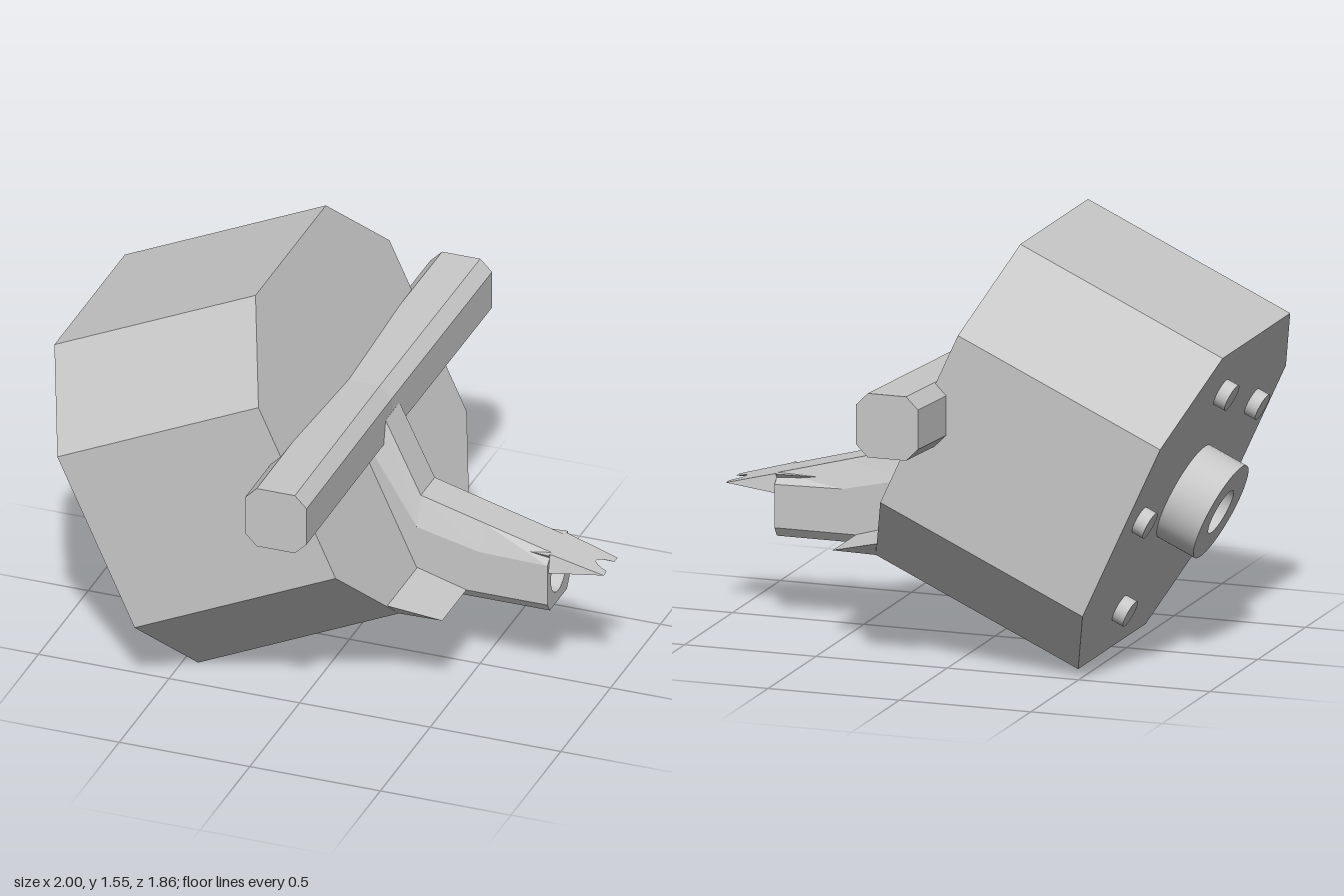
import * as THREE from 'three';
import { ConvexGeometry } from 'three/addons/geometries/ConvexGeometry.js';

const grey = new THREE.MeshStandardMaterial({ color: 0xc8c8c8, side: THREE.DoubleSide });

function add(parent, name, geometry, x = 0, y = 0, z = 0) {
  const mesh = new THREE.Mesh(geometry, grey);
  mesh.name = name;
  mesh.position.set(x, y, z);
  parent.add(mesh);
  return mesh;
}

// Flat-shaded geometry from a list of triangles' corner points
function facets(points) {
  const g = new THREE.BufferGeometry();
  g.setAttribute('position', new THREE.Float32BufferAttribute(points.flat(), 3));
  g.computeVertexNormals();
  return g;
}

// Skin between cross-sections; rings run counter-clockwise seen from the far end
function loft(rings, capEnd = true) {
  const tris = [];
  const n = rings[0].length;
  for (let i = 0; i < rings.length - 1; i++) {
    for (let j = 0; j < n; j++) {
      const k = (j + 1) % n;
      const [a, b, c, d] = [rings[i][j], rings[i][k], rings[i + 1][k], rings[i + 1][j]];
      tris.push(a, b, c, a, c, d);
    }
  }
  const last = rings[rings.length - 1];
  for (let j = 1; j < n - 1; j++) {
    tris.push(rings[0][0], rings[0][j + 1], rings[0][j]);
    if (capEnd) tris.push(last[0], last[j], last[j + 1]);
  }
  return facets(tris);
}

const polygon = (pts) => new THREE.Shape(pts.map(([x, y]) => new THREE.Vector2(x, y)));

// Octagon with half-width h and cut corners, counter-clockwise
const octagon = (h, f) => [[h, -f], [h, f], [f, h], [-f, h], [-h, f], [-h, -f], [-f, -h], [f, -h]];

// Cylinder lying along x
const rod = (r, length, open = false) =>
  new THREE.CylinderGeometry(r, r, length, 40, 1, open).rotateZ(Math.PI / 2);

export function createModel() {
  const model = new THREE.Group();

  // Tilted octagonal drum; local x is its axis, origin at the back face
  const drum = new THREE.Group();
  drum.name = 'drum';
  drum.position.set(-0.72, 0.6, 0);
  drum.rotation.z = 0.432;
  model.add(drum);
  const depth = 0.848;
  add(drum, 'drumBody', new THREE.ExtrudeGeometry(polygon(octagon(0.657, 0.353)),
    { depth, bevelEnabled: false }).rotateY(Math.PI / 2));

  // Hollow hub on the back
  const hub = 0.154;
  add(drum, 'hubOuter', rod(0.19, hub, true), -hub / 2);
  add(drum, 'hubBore', rod(0.088, hub, true), -hub / 2);
  add(drum, 'hubRim', new THREE.RingGeometry(0.088, 0.19, 40).rotateY(-Math.PI / 2), -hub);

  // Five studs around the hub
  for (let i = 0; i < 5; i++) {
    const a = (35 + 72 * i) * Math.PI / 180;
    add(drum, 'stud', rod(0.052, 0.055), -0.0175, 0.478 * Math.sin(a), 0.478 * Math.cos(a));
  }

  // Wedge lip under the front of the drum
  const lip = [];
  for (const s of [-1, 1]) {
    lip.push(new THREE.Vector3(0.302, 0.415, 0.412 * s), new THREE.Vector3(0.325, 0.358, 0.353 * s),
      new THREE.Vector3(0.49, 0.361, 0.353 * s));
  }
  add(model, 'lip', new ConvexGeometry(lip));

  // Crossbar, slightly bent at the middle
  const bar = [[-0.93, 0.073, 0.988], [0, 0.045, 0.95], [0.93, 0.073, 0.988]].map(([z, cx, cy]) =>
    octagon(0.118, 0.073).map(([x, y]) => [cx + x, cy + y, z]));
  add(model, 'crossbar', loft(bar));

  // Neck and spout: top, shoulder, lower side and bottom corners of each section
  const halfWidths = [0.07, 0.11, 0.11, 0.085];
  const sections = [
    [[0.165, 0.97], [0.1, 0.9], [0.02, 0.85], [0, 0.85]],
    [[0.3, 0.69], [0.3, 0.58], [0.285, 0.36], [0.285, 0.325]],
    [[0.54, 0.625], [0.54, 0.525], [0.54, 0.36], [0.54, 0.325]],
    [[0.8, 0.555], [0.8, 0.52], [0.8, 0.36], [0.8, 0.325]],
  ].map((pts) => {
    const side = pts.map(([x, y], i) => [x, y, halfWidths[i]]);
    return [...side, ...side.map(([x, y, z]) => [x, y, -z]).reverse()];
  });
  add(model, 'neckAndSpout', loft(sections, false));

  // Spout mouth with a round bore
  const boreY = 0.44, boreR = 0.075, boreDepth = 0.3;
  const mouth = polygon(sections[3].map(([, y, z]) => [z, y]));
  mouth.holes.push(new THREE.Path().absarc(0, boreY, boreR, 0, Math.PI * 2, true));
  add(model, 'spoutMouth', new THREE.ShapeGeometry(mouth, 24).rotateY(Math.PI / 2), 0.8);
  add(model, 'spoutBore', rod(boreR, boreDepth, true), 0.8 - boreDepth / 2, boreY);
  add(model, 'boreEnd', new THREE.CircleGeometry(boreR, 40).rotateY(Math.PI / 2), 0.8 - boreDepth, boreY);

  // Pointed beak over the mouth, hollowed underneath by the line of the bore
  const columns = [{ top: [0.8, 0.485, -0.1], low: [0.8, 0.485, -0.1], tip: [1, 0.5, -0.07] }];
  const steps = 28;
  for (let i = 0; i <= steps; i++) {
    const t = -1 + 2 * i / steps;
    const z = 0.085 * t;
    const arc = boreY + Math.sqrt(Math.max(0, boreR * boreR - z * z));
    const low = Math.max(0.485, arc);
    const x = Math.min(1, 0.8 + (0.555 - low) / 0.275);
    const zTip = z * (1 - 0.18 * (x - 0.8) / 0.2);
    columns.push({ top: [0.8, 0.555, z], low: [0.8, low, z], tip: [x, 0.555 - 0.275 * (x - 0.8), zTip] });
  }
  columns.push({ top: [0.8, 0.485, 0.1], low: [0.8, 0.485, 0.1], tip: [1, 0.5, 0.07] });
  const beak = [];
  for (let i = 0; i < columns.length - 1; i++) {
    const a = columns[i], b = columns[i + 1];
    beak.push(a.top, b.top, b.tip, a.top, b.tip, a.tip);
    beak.push(a.low, b.tip, b.low, a.low, a.tip, b.tip);
  }
  add(model, 'beak', facets(beak));

  // Small fins where the beak meets the spout
  for (const s of [-1, 1]) {
    const fin = [[0.63, 0.555, 0.085], [0.8, 0.555, 0.098], [0.8, 0.555, 0.06], [0.8, 0.52, 0.07]];
    add(model, 'beakFin', new ConvexGeometry(fin.map(([x, y, z]) => new THREE.Vector3(x, y, z * s))));
  }

  return model;
}
